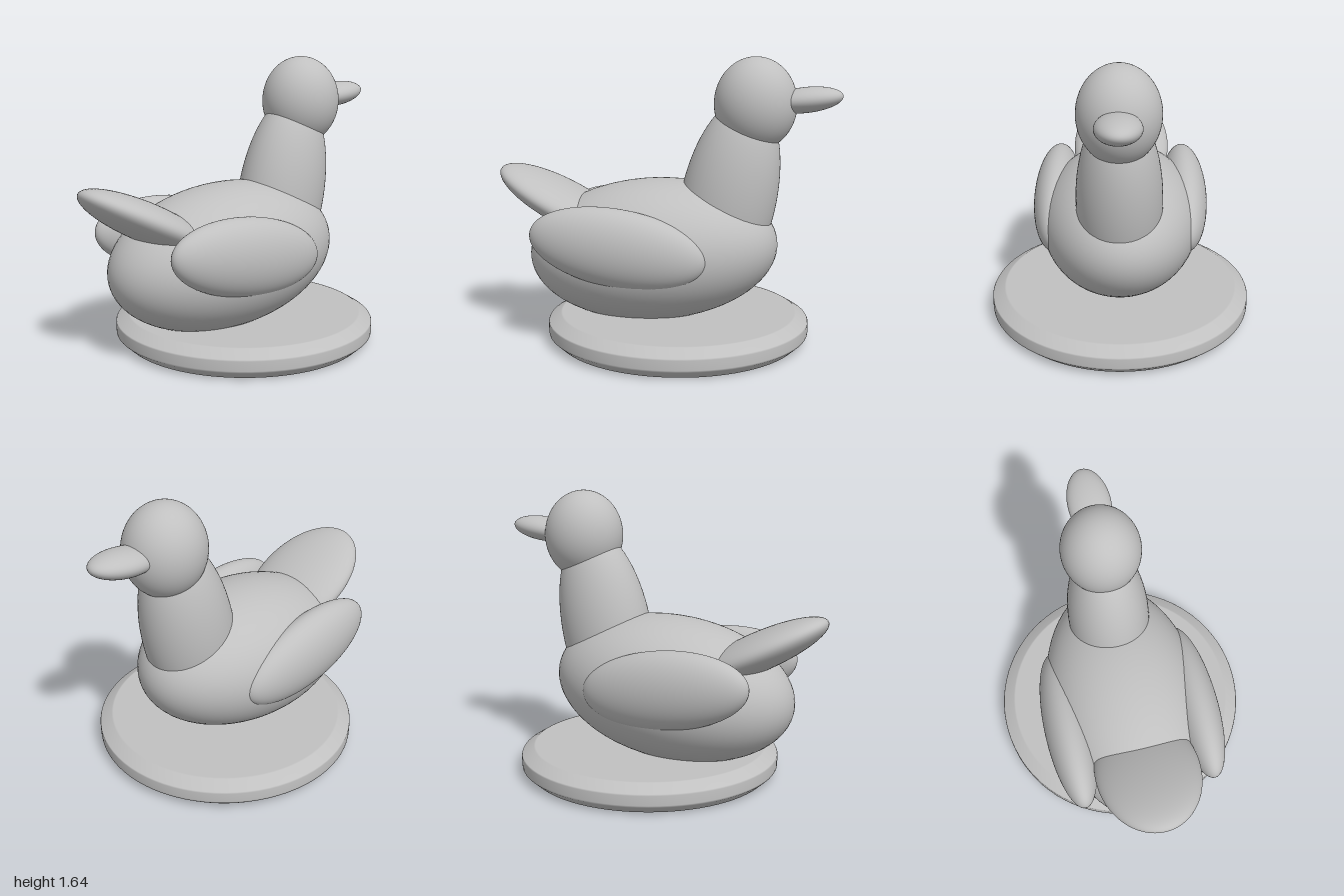
import * as THREE from 'three';

export function createModel() {
  const model = new THREE.Group();
  const clay = new THREE.MeshStandardMaterial({ color: 0xc0c0c0 });
  clay.name = 'plain grey';

  // Ellipsoid with half sizes, centre and a tilt in degrees about z
  function ellipsoid(name, size, centre, tilt = 0) {
    const geometry = new THREE.SphereGeometry(1, 64, 40);
    geometry.scale(...size);
    const mesh = new THREE.Mesh(geometry, clay);
    mesh.name = name;
    mesh.position.set(...centre);
    mesh.rotation.z = THREE.MathUtils.degToRad(tilt);
    model.add(mesh);
  }

  // Round stand with bevelled rims; close pairs of points keep the flats flat
  const profile = [
    [0, 0], [0.705, 0], [0.715, 0], [0.764, 0.045], [0.765, 0.055],
    [0.765, 0.11], [0.761, 0.118], [0.695, 0.158], [0.685, 0.16], [0, 0.16],
  ].map(([r, y]) => new THREE.Vector2(r, y));
  const base = new THREE.Mesh(new THREE.LatheGeometry(profile, 80), clay);
  base.name = 'base';
  base.position.x = 0.07;
  model.add(base);

  // Bird, looking toward +x
  ellipsoid('body', [0.737, 0.416, 0.47], [-0.085, 0.52, 0], 5.1);
  ellipsoid('neck', [0.275, 0.61, 0.24], [0.36, 0.82, 0], -11.9);
  ellipsoid('head', [0.235, 0.265, 0.225], [0.51, 1.38, 0]);
  ellipsoid('beak', [0.208, 0.072, 0.122], [0.79, 1.405, 0], 7);
  ellipsoid('tail', [0.438, 0.11, 0.3], [-0.61, 0.778, 0], -27.4);
  for (const side of [-1, 1]) {
    ellipsoid(side > 0 ? 'frontWing' : 'backWing', [0.506, 0.222, 0.14], [-0.21, 0.6, side * 0.385], -8.1);
  }
  return model;
}
